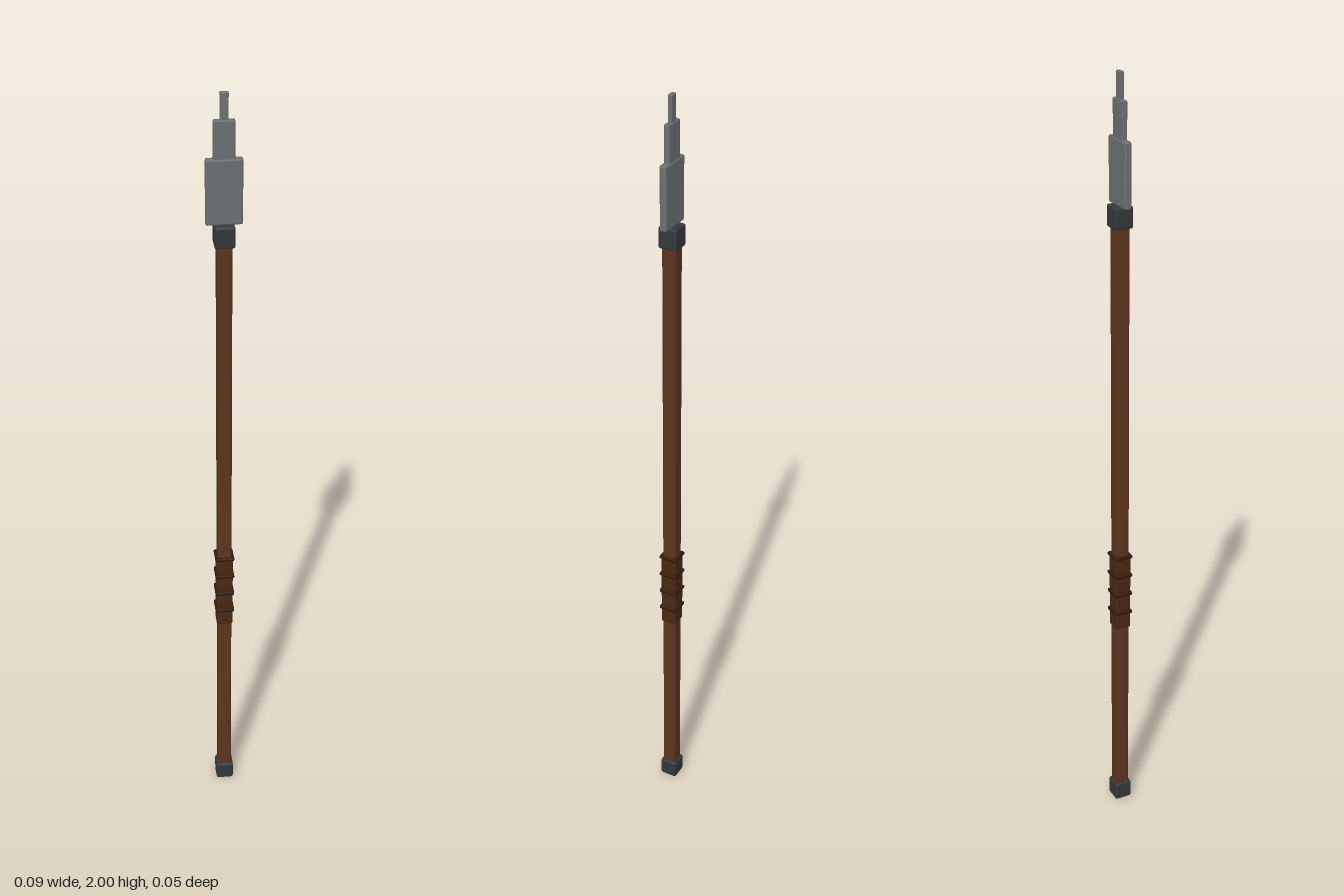
import * as THREE from 'three';
import { RoundedBoxGeometry } from 'three/addons/geometries/RoundedBoxGeometry.js';

const material = (color) => new THREE.MeshStandardMaterial({ color, flatShading: true });

export function createModel() {
  const spear = new THREE.Group();
  spear.name = 'spear';

  const wood = material(0x5c3420);
  const leather = material(0x4a2812);
  const cord = material(0x2e1a0e);
  const iron = material(0x34383c);
  const steel = material(0x6b7073);

  // Chamfered box spanning y0..y1, centred on the shaft axis
  function block(name, width, depth, y0, y1, mat, bevel) {
    const geometry = new RoundedBoxGeometry(width, y1 - y0, depth, 1, bevel);
    const mesh = new THREE.Mesh(geometry, mat);
    mesh.name = name;
    mesh.position.y = (y0 + y1) / 2;
    spear.add(mesh);
  }

  // Shaft with its metal fittings
  block('shaft', 0.036, 0.036, 0.02, 1.66, wood, 0.005);
  block('buttCap', 0.046, 0.046, 0, 0.05, iron, 0.005);
  block('collar', 0.048, 0.048, 1.635, 1.69, iron, 0.005);

  // Grip: wrapped sections, each topped by a cord band
  for (let i = 0; i < 4; i++) {
    const y = 0.548 + i * 0.0545;
    block('gripWrap' + (i + 1), 0.042, 0.042, y, y + 0.047, leather, 0.004);
    block('gripBand' + (i + 1), 0.049, 0.049, y + 0.043, y + 0.052, cord, 0.003);
  }
  // Leather core joining the wrapped sections
  block('gripCore', 0.039, 0.039, 0.55, 0.76, leather, 0.004);

  // Stepped blade narrowing to the tip
  block('bladeBase', 0.086, 0.018, 1.688, 1.847, steel, 0.004);
  block('bladeMiddle', 0.05, 0.014, 1.84, 1.937, steel, 0.003);
  block('bladeTip', 0.02, 0.011, 1.93, 2, steel, 0.002);

  return spear;
}
